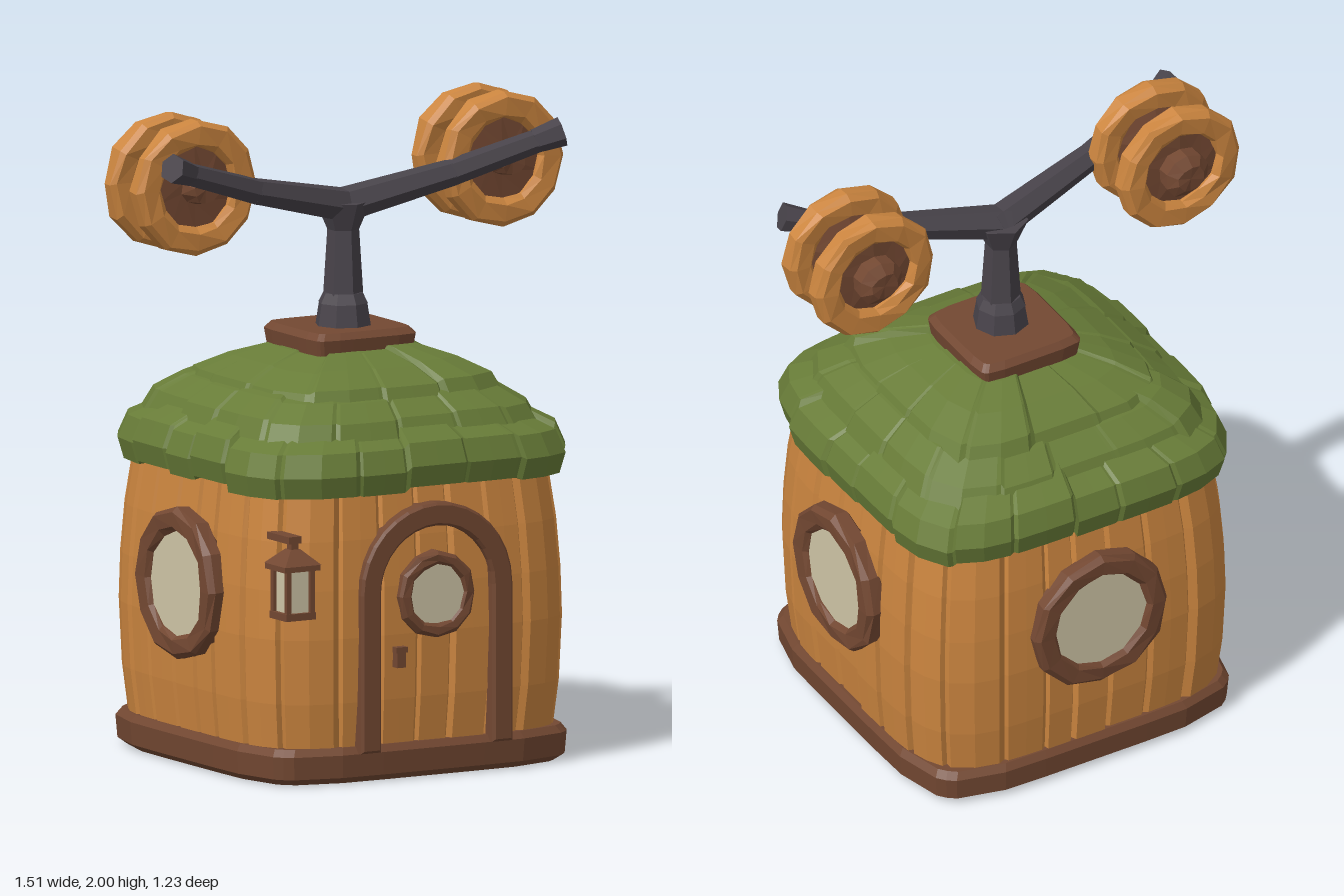
import * as THREE from 'three';

const mat = (name, color) => {
  const m = new THREE.MeshStandardMaterial({ color });
  m.name = name;
  return m;
};

// Small seeded random source
let seed = 7;
const rand = () => (seed = (seed * 16807) % 2147483647) / 2147483647;
const spread = (a) => (rand() * 2 - 1) * a;

// Faceted copy of a geometry
function facet(geo) {
  const g = geo.index ? geo.toNonIndexed() : geo;
  g.computeVertexNormals();
  return g;
}

// Hand-cut wobble: coincident vertices move together
function carve(geo, amount) {
  const p = geo.attributes.position;
  const hash = (x, y, z, k) => {
    const s = Math.sin(Math.round(x * 500) * 12.9 + Math.round(y * 500) * 78.2 + Math.round(z * 500) * 37.7 + k) * 4375.5;
    return (s - Math.floor(s) - 0.5) * 2 * amount;
  };
  for (let i = 0; i < p.count; i++) {
    const x = p.getX(i), y = p.getY(i), z = p.getZ(i);
    p.setXYZ(i, x + hash(x, y, z, 1), y + hash(x, y, z, 2), z + hash(x, y, z, 3));
  }
  return geo;
}

// Skin closed rings of points from bottom to top, with both ends capped
function loft(rings) {
  const n = rings[0].length, pos = [], idx = [];
  rings.forEach((r) => r.forEach((q) => pos.push(...q)));
  const caps = [rings[0], rings[rings.length - 1]].map((r) => {
    const c = [0, 1, 2].map((k) => r.reduce((s, q) => s + q[k], 0) / n);
    pos.push(...c);
    return pos.length / 3 - 1;
  });
  const last = (rings.length - 1) * n;
  for (let j = 0; j < n; j++) {
    const k = (j + 1) % n;
    for (let i = 0; i < last; i += n) idx.push(i + j, i + n + j, i + k, i + k, i + n + j, i + n + k);
    idx.push(caps[0], j, k, caps[1], last + k, last + j);
  }
  const g = new THREE.BufferGeometry();
  g.setAttribute('position', new THREE.Float32BufferAttribute(pos, 3));
  g.setIndex(idx);
  return facet(g);
}

// Rounded-square shell split into planks or shingles; levels are [y, half width]
function shell(levels, count, { groove = 0, bump = 0, lift = 0, power = 5, gap = 0.09, z = -0.013 }) {
  const step = (Math.PI * 2) / count;
  const pieces = Array.from({ length: count }, (_, i) => ({
    t: (i + 0.5) * step + spread(groove ? step * 0.14 : 0), out: spread(bump), up: spread(lift),
  }));
  return loft(levels.map(([y, half]) => pieces.flatMap((p, i) => {
    const end = i + 1 < count ? pieces[i + 1].t : pieces[0].t + Math.PI * 2;
    return [0, gap, 0.5, 1 - gap].map((f) => {
      const t = p.t + (end - p.t) * f, c = Math.cos(t), s = Math.sin(t);
      const r = half * (Math.abs(c) ** power + Math.abs(s) ** power) ** (-1 / power) + (f ? p.out : -groove);
      return [c * r, y + p.up, s * r + z];
    });
  })));
}

// Bevelled ring around the z axis
function ringGeo(outer, inner, depth, sides, wobble) {
  const h = depth / 2, b = depth * 0.22;
  const pts = [[outer, -h + b], [outer, h - b], [outer - b, h], [inner + b, h], [inner, h - b],
    [inner, -h + b], [inner + b, -h], [outer - b, -h], [outer, -h + b]].map((q) => new THREE.Vector2(...q));
  return facet(carve(new THREE.LatheGeometry(pts, sides).rotateX(Math.PI / 2), wobble));
}

export function createModel() {
  const wood = mat('honey wood', 0xcb853f);
  const brown = mat('dark brown wood', 0x734832);
  const green = mat('mossy green', 0x687c38);
  const iron = mat('dark iron', 0x48434a);
  const cream = mat('cream glass', 0xcfc5a6);

  const model = new THREE.Group();
  model.name = 'hangingCabin';
  const add = (name, geo, material, x = 0, y = 0, z = 0, parent = model) => {
    const m = new THREE.Mesh(geo, material);
    m.name = name;
    m.position.set(x, y, z);
    parent.add(m);
    return m;
  };
  const group = (name, x = 0, y = 0, z = 0) => {
    const g = new THREE.Group();
    g.name = name;
    g.position.set(x, y, z);
    model.add(g);
    return g;
  };
  const box = (w, h, d) => new THREE.BoxGeometry(w, h, d);

  // Base and bulging plank walls
  add('base', shell([[0, 0.53], [0.02, 0.555], [0.09, 0.56], [0.112, 0.545]], 12, { power: 6 }), brown);
  add('plankWalls', shell([[0.1, 0.54], [0.25, 0.556], [0.45, 0.564], [0.6, 0.56], [0.75, 0.549], [0.93, 0.525]],
    28, { groove: 0.014, bump: 0.005 }), wood);

  // Three overlapping shingle tiers
  const tiers = [
    [[0.91, 0.48], [0.895, 0.56], [0.96, 0.576], [1.03, 0.55], [1.09, 0.44]],
    [[1.04, 0.4], [1.04, 0.505], [1.1, 0.475], [1.15, 0.4], [1.18, 0.3]],
    [[1.13, 0.3], [1.13, 0.405], [1.18, 0.38], [1.225, 0.29], [1.258, 0.19], [1.265, 0.1]],
  ];
  tiers.forEach((levels, i) => add('roofTier' + (i + 1),
    shell(levels, 20 - i * 4, { groove: 0.006, bump: 0.008, lift: 0.012, gap: 0.06 }), green));
  add('roofPlate', shell([[1.25, 0.175], [1.3, 0.182], [1.32, 0.165]], 12, { power: 9, z: -0.02 }), brown);

  // Round windows on both sides and the back
  const windowRing = ringGeo(0.235, 0.16, 0.07, 12, 0.004);
  const pane = (r) => facet(new THREE.CylinderGeometry(r, r, 0.008, 12).rotateX(Math.PI / 2));
  [['left', 0.57, 0, Math.PI / 2], ['right', -0.57, 0, -Math.PI / 2], ['back', 0, -0.578, Math.PI]].forEach(([side, x, z, turn]) => {
    const g = group(side + 'Window', x, 0.567, z);
    g.rotation.y = turn;
    add('frame', windowRing, brown, 0, 0, 0, g);
    add('glass', pane(0.17), cream, 0, 0, 0.013, g);
  });

  // Arched door frame, porthole and handle
  const door = group('door');
  const arch = new THREE.Shape();
  arch.moveTo(0.26, 0.1).lineTo(0.26, 0.58);
  arch.absarc(0, 0.58, 0.26, 0, Math.PI, false);
  arch.lineTo(-0.26, 0.1).lineTo(-0.205, 0.1).lineTo(-0.205, 0.58);
  arch.absarc(0, 0.58, 0.205, Math.PI, 0, true);
  arch.lineTo(0.205, 0.1);
  add('archFrame', facet(new THREE.ExtrudeGeometry(arch, {
    depth: 0.06, curveSegments: 8, bevelEnabled: true, bevelSize: 0.008, bevelThickness: 0.008, bevelSegments: 1,
  })), brown, 0, 0, 0.5, door);
  add('portholeFrame', ringGeo(0.135, 0.09, 0.05, 12, 0.003), brown, 0, 0.565, 0.55, door);
  add('portholeGlass', pane(0.1), cream, 0, 0.565, 0.562, door);
  add('handle', box(0.03, 0.06, 0.04), brown, -0.132, 0.38, 0.555, door);
  add('handleKnob', box(0.04, 0.018, 0.025), brown, -0.132, 0.405, 0.565, door);

  // Hanging lantern on the front corner
  const lantern = group('lantern', -0.5, 0, 0.545);
  add('lanternGlass', box(0.075, 0.14, 0.075), cream, 0, 0.615, 0, lantern);
  add('lanternBottom', box(0.105, 0.022, 0.1), brown, 0, 0.54, 0, lantern);
  add('lanternRim', box(0.125, 0.018, 0.12), brown, 0, 0.69, 0, lantern);
  const lid = new THREE.CylinderGeometry(0.025, 0.09, 0.045, 4).rotateY(Math.PI / 4);
  add('lanternLid', facet(lid), brown, 0, 0.721, 0, lantern);
  for (const sx of [-1, 1]) for (const sz of [-1, 1]) {
    add('lanternPost', box(0.016, 0.15, 0.016), brown, sx * 0.041, 0.615, sz * 0.041, lantern);
  }
  add('lanternHook', box(0.025, 0.05, 0.025), brown, 0, 0.755, 0, lantern);
  add('lanternBracket', box(0.045, 0.022, 0.13), brown, 0, 0.772, -0.05, lantern);

  // Hanger mast with collar
  const cyl = (top, bottom, h, sides) => facet(new THREE.CylinderGeometry(top, bottom, h, sides));
  add('collar', cyl(0.076, 0.088, 0.075, 8), iron, 0, 1.352, 0);
  add('collarTop', cyl(0.062, 0.078, 0.032, 8), iron, 0, 1.404, 0);
  add('mast', cyl(0.047, 0.062, 0.24, 6), iron, 0, 1.52, 0);
  add('mastHead', cyl(0.085, 0.047, 0.09, 6), iron, 0, 1.655, 0);

  // Swept arms, tapering outward with a blunt tip
  const beam = (name, a, b, r0, r1) => {
    const from = new THREE.Vector3(...a), dir = new THREE.Vector3(...b).sub(from);
    const m = add(name, cyl(r1, r0, dir.length(), 6), iron);
    m.position.copy(from).addScaledVector(dir, 0.5);
    m.quaternion.setFromUnitVectors(new THREE.Vector3(0, 1, 0), dir.normalize());
  };
  // Spool wheels: two wooden rims on a turned hub
  const rim = ringGeo(0.21, 0.125, 0.072, 12, 0.005);
  const hubProfile = [[0, -0.225], [0.045, -0.225], [0.075, -0.2], [0.075, -0.155], [0.14, -0.15], [0.14, -0.125],
    [0.1, -0.1], [0.1, -0.015], [0.14, 0], [0.14, 0.03], [0.05, 0.035], [0.04, 0.1], [0, 0.1]];
  const hub = facet(carve(new THREE.LatheGeometry(hubProfile.map((q) => new THREE.Vector2(...q)), 10)
    .rotateX(Math.PI / 2), 0.003));
  for (const [side, s] of [['left', 1], ['right', -1]]) {
    beam(side + 'ArmInner', [-s * 0.02, 1.685, 0], [s * 0.35, 1.768, 0.06], 0.055, 0.042);
    beam(side + 'ArmOuter', [s * 0.34, 1.765, 0.058], [s * 0.63, 1.855, 0.12], 0.042, 0.036);
    beam(side + 'ArmTip', [s * 0.61, 1.85, 0.115], [s * 0.69, 1.878, 0.145], 0.037, 0.046);
    const wheel = group(side + 'Wheel', s * 0.543, 1.79, 0);
    add('frontRim', rim, wood, 0, 0, 0.02, wheel);
    add('backRim', rim, wood, 0, 0, -0.142, wheel).rotation.z = 0.5;
    add('hub', hub, brown, 0, 0, 0, wheel);
  }
  return model;
}
